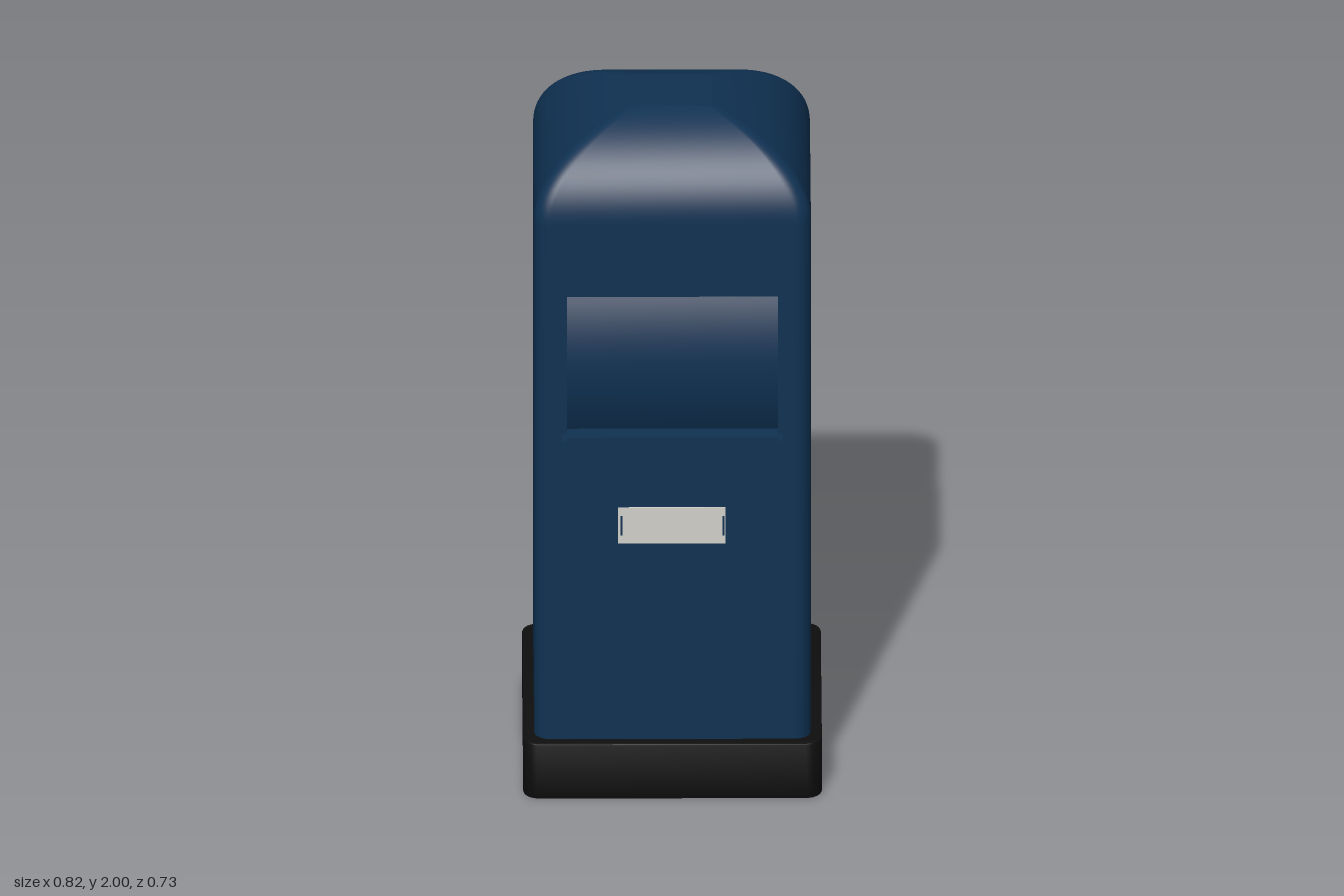
import * as THREE from 'three';
import { toCreasedNormals } from 'three/addons/utils/BufferGeometryUtils.js';

const HX = 0.38, HZ = 0.335, R = 0.045, Y0 = 0.16, Y1 = 1.755;

// Rounded rectangle outline in x/z, from the front right corner round the back to the front left
function ring(hx, hz, r) {
  const pts = [], n = 8;
  const corners = [[1, 1, 90], [1, -1, 0], [-1, -1, -90], [-1, 1, -180]];
  for (const [sx, sz, start] of corners) {
    for (let i = 0; i <= n; i++) {
      const a = THREE.MathUtils.degToRad(start - 90 * i / n);
      pts.push([sx * (hx - r) + r * Math.cos(a), sz * (hz - r) + r * Math.sin(a)]);
    }
  }
  return pts;
}

// Skin a stack of outlines: levels are [y, outline]
function loft(levels, closed) {
  const n = levels[0][1].length, pos = [], idx = [];
  for (const [y, pts] of levels) for (const [x, z] of pts) pos.push(x, y, z);
  for (let j = 0; j < levels.length - 1; j++) {
    for (let i = 0; i < (closed ? n : n - 1); i++) {
      const a = j * n + i, b = j * n + (i + 1) % n;
      idx.push(a, b, b + n, a, b + n, a + n);
    }
  }
  const g = new THREE.BufferGeometry();
  g.setAttribute('position', new THREE.Float32BufferAttribute(pos, 3));
  g.setIndex(idx);
  g.computeVertexNormals();
  return g;
}

function rect(x0, y0, x1, y1, Type = THREE.Shape) {
  const s = new Type();
  s.moveTo(x0, y0);
  s.lineTo(x1, y0);
  s.lineTo(x1, y1);
  s.lineTo(x0, y1);
  s.closePath();
  return s;
}

const outlineShape = (pts) => new THREE.Shape(pts.map(([x, z]) => new THREE.Vector2(x, -z)));

export function createModel() {
  const group = new THREE.Group();
  const blue = new THREE.MeshStandardMaterial({ name: 'navy paint', color: 0x0f3152 });
  const black = new THREE.MeshStandardMaterial({ name: 'black base', color: 0x0e0e0e });
  const grey = new THREE.MeshStandardMaterial({ name: 'pale label', color: 0xd2d0ca });

  function add(name, geometry, material, x = 0, y = 0, z = 0) {
    const m = new THREE.Mesh(geometry, material);
    m.name = name;
    m.position.set(x, y, z);
    group.add(m);
    return m;
  }

  // Plinth with softened edges
  const bevel = 0.005;
  const plinth = new THREE.ExtrudeGeometry(outlineShape(ring(0.41 - bevel, 0.365 - bevel, 0.04)), {
    depth: 0.17 - 2 * bevel, bevelSize: bevel, bevelThickness: bevel, bevelSegments: 2
  });
  plinth.rotateX(-Math.PI / 2);
  add('plinth', toCreasedNormals(plinth, 0.6), black, 0, bevel, 0);

  // Sides and back of the cabinet
  const outline = ring(HX, HZ, R);
  add('cabinetShell', loft([[Y0, outline], [Y1, outline]], false), blue);

  // Front panel, open where the flap sits
  const front = rect(-HX + R, Y0, HX - R, Y1);
  front.holes.push(rect(-0.32, 1.08, 0.32, 1.545, THREE.Path));
  add('frontPanel', new THREE.ShapeGeometry(front), blue, 0, 0, HZ);

  // Domed roof: elliptical shoulders that end in a small flat top
  const levels = [], steps = 20, end = Math.acos(0.29);
  for (let i = 0; i <= steps; i++) {
    const t = end * i / steps, c = Math.cos(t);
    const y = Y1 + (2 - Y1) * Math.sin(t) / Math.sin(end);
    levels.push([y, ring(HX * c, HZ * c, R * c)]);
  }
  add('roof', loft(levels, true), blue);
  const cap = new THREE.ShapeGeometry(outlineShape(levels[steps][1]));
  cap.rotateX(-Math.PI / 2);
  add('roofCap', cap, blue, 0, 2, 0);

  // Frame round the recess, and the recess back
  const frame = rect(-0.333, 1.065, 0.333, 1.56);
  frame.holes.push(rect(-0.303, 1.09, 0.303, 1.535, THREE.Path));
  add('flapFrame', new THREE.ExtrudeGeometry(frame, { depth: 0.047, bevelEnabled: false }), blue, 0, 0, 0.29);
  add('recessBack', new THREE.BoxGeometry(0.62, 0.46, 0.005), blue, 0, 1.3125, 0.295);

  // Bulging flap, a curved profile swept across x
  const profile = [new THREE.Vector2(0.298, 1.115)];
  for (let i = 0; i <= 20; i++) {
    const y = 1.115 + 0.405 * i / 20;
    profile.push(new THREE.Vector2(0.352 - 1.09 * (y - 1.31) ** 2, y));
  }
  profile.push(new THREE.Vector2(0.298, 1.52));
  const flap = new THREE.ExtrudeGeometry(new THREE.Shape(profile), { depth: 0.58, bevelEnabled: false });
  flap.rotateY(-Math.PI / 2);
  add('flap', toCreasedNormals(flap, 0.5), blue, 0.29, 0, 0);

  // Lip under the flap
  add('flapLip', new THREE.BoxGeometry(0.58, 0.02, 0.068), blue, 0, 1.105, 0.331);

  // Label with two thin end marks
  add('label', new THREE.BoxGeometry(0.295, 0.11, 0.006), grey, -0.002, 0.83, HZ + 0.001);
  for (const s of [-1, 1]) {
    add('labelMark', new THREE.BoxGeometry(0.005, 0.06, 0.002), blue, s * 0.14, 0.83, HZ + 0.004);
  }

  return group;
}
